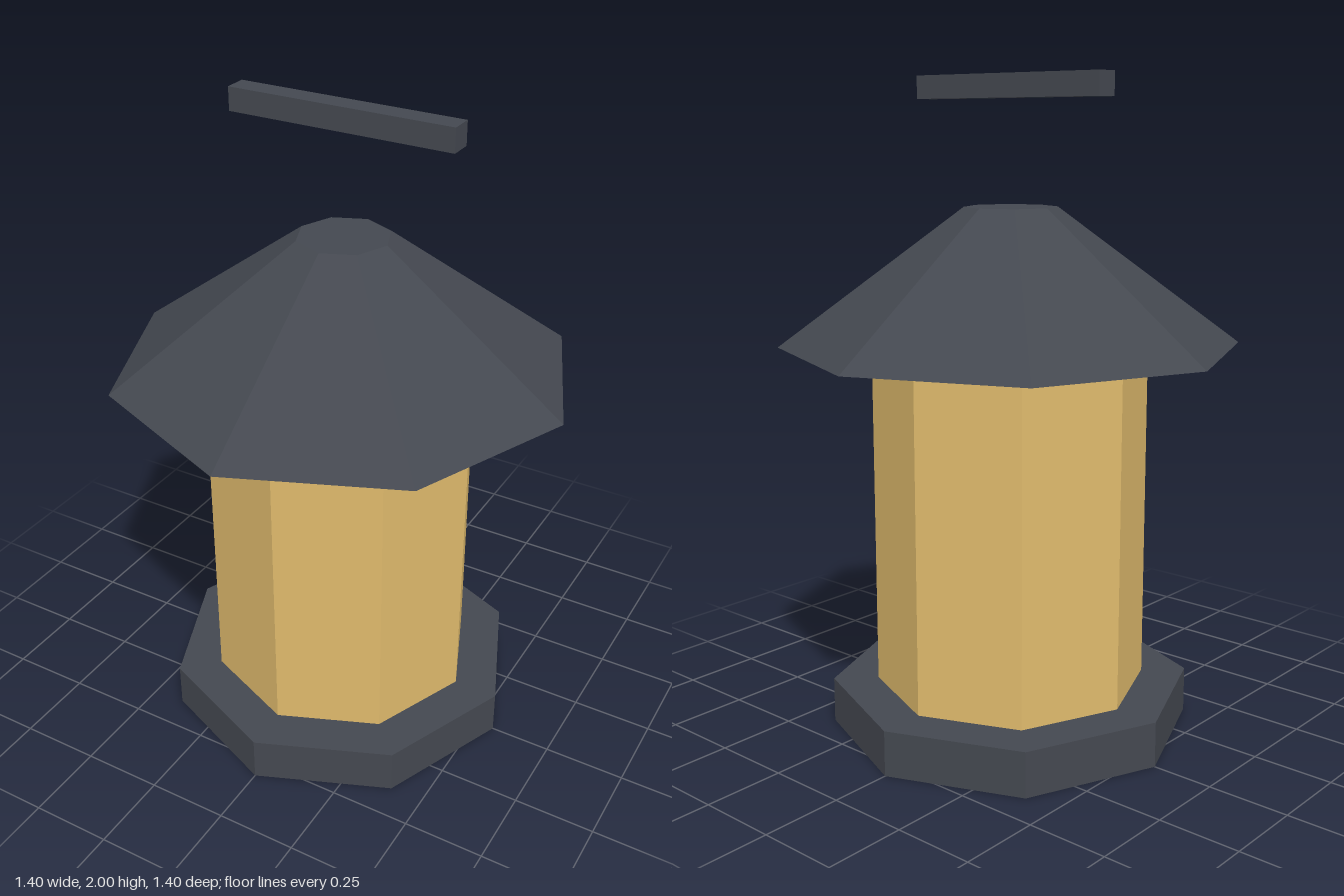
import * as THREE from 'three';

export function createModel() {
  const group = new THREE.Group();
  const darkMetal = new THREE.MeshStandardMaterial({ color: 0x444850, flatShading: true });
  darkMetal.name = 'darkMetal';
  const amberGlass = new THREE.MeshStandardMaterial({ color: 0xdfba6c, flatShading: true });
  amberGlass.name = 'amberGlass';

  const add = (name, geometry, material, y) => {
    const mesh = new THREE.Mesh(geometry, material);
    mesh.name = name;
    mesh.position.y = y;
    group.add(mesh);
  };

  // Eight-sided section standing between two heights
  const octagon = (name, topRadius, bottomRadius, y0, y1, material) =>
    add(name, new THREE.CylinderGeometry(topRadius, bottomRadius, y1 - y0, 8), material, (y0 + y1) / 2);

  octagon('base', 0.56, 0.56, 0, 0.14, darkMetal);
  octagon('glassBody', 0.42, 0.42, 0.14, 1.2, amberGlass);
  octagon('roof', 0.14, 0.7, 1.2, 1.615, darkMetal);

  // Carrying bar floating above the roof
  add('handle', new THREE.BoxGeometry(0.7, 0.07, 0.07), darkMetal, 1.965);

  return group;
}
